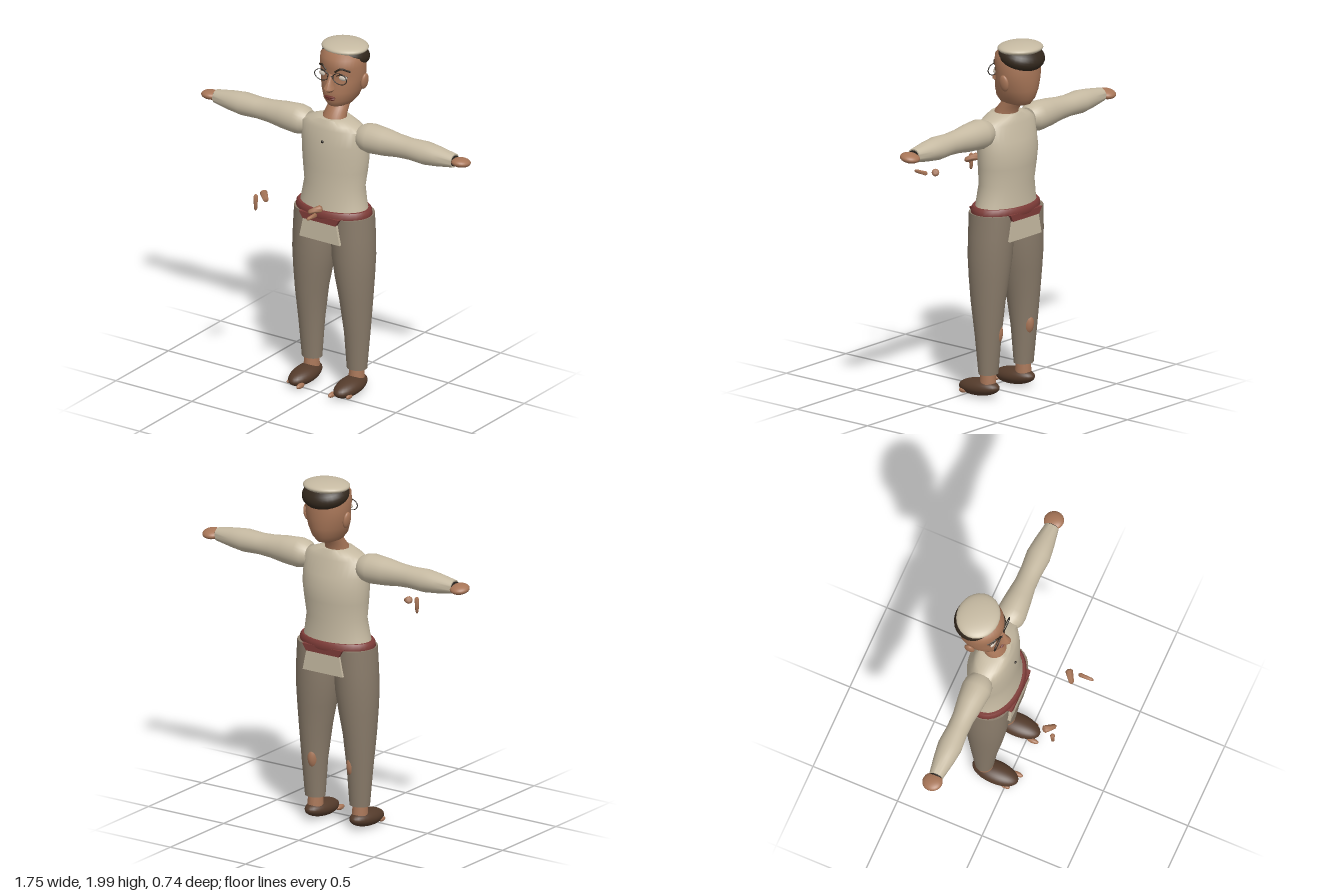
import * as THREE from 'three';
import { toCreasedNormals } from 'three/addons/utils/BufferGeometryUtils.js';

const mat = (name, color) => {
  const m = new THREE.MeshStandardMaterial({ color });
  m.name = name;
  return m;
};

// Stacks elliptical cross-sections [y, cx, cz, rx, rz], lowest first, and caps both ends
function loft(sections, n = 28, crease = 0.8) {
  const pos = [], idx = [];
  const turn = n === 4 ? Math.PI / 4 : 0, grow = n === 4 ? Math.SQRT2 : 1;
  for (const [y, cx, cz, rx, rz] of sections)
    for (let j = 0; j < n; j++) {
      const a = turn + (j / n) * Math.PI * 2;
      pos.push(cx + rx * grow * Math.sin(a), y, cz + rz * grow * Math.cos(a));
    }
  const last = sections.length - 1, base = pos.length / 3;
  for (const s of [sections[0], sections[last]]) pos.push(s[1], s[0], s[2]);
  for (let j = 0; j < n; j++) {
    const k = (j + 1) % n;
    for (let i = 0; i < last; i++) {
      const a = i * n + j, b = i * n + k;
      idx.push(a, b, b + n, a, b + n, a + n);
    }
    idx.push(base, k, j, base + 1, last * n + j, last * n + k);
  }
  const g = new THREE.BufferGeometry();
  g.setAttribute('position', new THREE.Float32BufferAttribute(pos, 3));
  g.setIndex(idx);
  return toCreasedNormals(g, crease);
}

export function createModel() {
  const root = new THREE.Group();
  root.name = 'standingMan';
  const shirt = mat('cream cloth', 0xc6baa2), trouser = mat('grey brown cloth', 0x897b6a);
  const skin = mat('skin', 0xa87658), sash = mat('dark red', 0x7e3c38);
  const hairMat = mat('dark hair', 0x33281d), leather = mat('brown leather', 0x543b2b);
  const white = mat('eye white', 0xd2c8ba), lip = mat('lip', 0x6e342c), wire = mat('dark wire', 0x2a2622);

  const add = (name, geo, material, parent = root) => {
    const m = new THREE.Mesh(geo, material);
    m.name = name;
    parent.add(m);
    return m;
  };
  const ball = (name, material, p, r, parent) => {
    const m = add(name, new THREE.SphereGeometry(1, 28, 18), material, parent);
    m.position.set(...p);
    m.scale.set(...r);
    return m;
  };
  // Tapered finger piece between two points
  const finger = (name, a, b, ra, rb) => {
    const A = new THREE.Vector3(...a), B = new THREE.Vector3(...b), d = B.clone().sub(A), L = d.length();
    const g = loft([[0, 0, 0, ra * 0.4, ra * 0.4], [L * 0.12, 0, 0, ra, ra], [L * 0.5, 0, 0, (ra + rb) / 2, (ra + rb) / 2],
      [L * 0.88, 0, 0, rb, rb], [L, 0, 0, rb * 0.4, rb * 0.4]], 12, 1.2);
    const m = add(name, g, skin);
    m.position.copy(A);
    m.quaternion.setFromUnitVectors(new THREE.Vector3(0, 1, 0), d.normalize());
  };

  // Torso, sash and shirt tail
  add('torso', loft([
    [1.04, 0, -0.135, 0.215, 0.135], [1.1, 0, -0.137, 0.2, 0.13], [1.2, 0, -0.142, 0.183, 0.124],
    [1.3, 0, -0.147, 0.197, 0.128], [1.38, 0, -0.15, 0.205, 0.131], [1.45, 0, -0.145, 0.205, 0.122],
    [1.54, 0, -0.138, 0.2, 0.103], [1.565, 0, -0.138, 0.16, 0.095], [1.59, 0, -0.138, 0.09, 0.082]], 36), shirt);
  add('sash', loft([[1.035, 0, -0.135, 0.226, 0.149], [1.045, 0, -0.135, 0.23, 0.152],
    [1.07, 0, -0.135, 0.226, 0.15], [1.08, 0, -0.135, 0.218, 0.143]], 36), sash);
  add('sashFlap', loft([[1.012, 0, -0.135, 0.108, 0.148], [1.05, 0, -0.135, 0.132, 0.148]], 4, 0.3), sash);
  add('shirtTail', loft([[0.9, 0, -0.136, 0.132, 0.143], [1.03, 0, -0.136, 0.105, 0.142]], 4, 0.3), shirt);
  ball('button', wire, [0, 1.475, -0.02], [0.008, 0.008, 0.006]);

  // Arms and legs
  for (const s of [1, -1]) {
    const side = s > 0 ? 'left' : 'right';
    const limb = (name, sections, material) => {
      const m = add(name, loft(sections), material);
      m.rotation.z = -s * Math.PI / 2;
      m.position.set(0, 1.51, -0.147);
      return m;
    };
    limb(side + 'Sleeve', [[0.17, 0, 0, 0.06, 0.06], [0.2, 0, 0, 0.075, 0.078], [0.24, 0, 0, 0.083, 0.083],
      [0.34, 0, 0, 0.076, 0.072], [0.42, 0, 0, 0.065, 0.061], [0.5, 0, 0, 0.06, 0.06], [0.6, 0, 0, 0.064, 0.068],
      [0.68, 0, 0, 0.055, 0.058], [0.785, 0, 0, 0.038, 0.04]], shirt);
    limb(side + 'Cuff', [[0.76, 0, 0, 0.03, 0.034], [0.79, 0, 0, 0.03, 0.034]], wire);
    const hand = ball(side + 'Hand', skin, [s * 0.823, 1.508, -0.152], [0.054, 0.026, 0.056]);
    hand.rotation.x = -0.15;

    add(side + 'TrouserLeg', loft([
      [0.14, s * 0.148, -0.138, 0.058, 0.052], [0.35, s * 0.15, -0.138, 0.072, 0.073],
      [0.55, s * 0.146, -0.134, 0.091, 0.098], [0.68, s * 0.137, -0.134, 0.108, 0.113],
      [0.8, s * 0.13, -0.135, 0.12, 0.124], [0.92, s * 0.125, -0.137, 0.12, 0.128],
      [1.045, s * 0.123, -0.138, 0.112, 0.13]]), trouser);
    ball(side + 'Calf', skin, [s * 0.13, 0.375, -0.177], [0.032, 0.07, 0.042]);
    add(side + 'Ankle', loft([[0.05, s * 0.148, -0.135, 0.045, 0.048], [0.1, s * 0.148, -0.135, 0.043, 0.045],
      [0.17, s * 0.148, -0.135, 0.038, 0.04]]), skin);
    const shoe = ball(side + 'Shoe', leather, [s * 0.149, 0.054, -0.074], [0.066, 0.048, 0.134]);
    shoe.rotation.x = 0.08;
    ball(side + 'BigToe', skin, [s * 0.105, 0.029, 0.036], [0.014, 0.015, 0.034]);
    ball(side + 'LittleToe', skin, [s * 0.195, 0.028, 0.005], [0.012, 0.013, 0.026]);
  }

  // Loose finger pieces held out in front
  finger('leftThumb', [0.105, 1.185, 0.268], [0.168, 1.21, 0.222], 0.014, 0.021);
  finger('leftFinger', [0.168, 1.192, 0.28], [0.168, 1.194, 0.368], 0.012, 0.009);
  finger('rightThumb', [-0.155, 1.195, 0.288], [-0.212, 1.22, 0.235], 0.014, 0.021);
  finger('rightFinger', [-0.22, 1.13, 0.297], [-0.22, 1.222, 0.295], 0.009, 0.013);

  // Head and neck
  const head = new THREE.Group();
  head.name = 'head';
  root.add(head);
  add('neck', loft([[1.56, 0, -0.14, 0.072, 0.066], [1.6, 0, -0.142, 0.066, 0.062],
    [1.64, 0, -0.175, 0.06, 0.06], [1.7, 0, -0.21, 0.06, 0.06]]), skin, head);
  const profile = [[1.645, 0.035, -0.135, -0.27], [1.656, 0.06, -0.108, -0.3], [1.69, 0.088, -0.09, -0.325],
    [1.74, 0.108, -0.09, -0.34], [1.8, 0.123, -0.1, -0.345], [1.84, 0.127, -0.105, -0.346],
    [1.88, 0.128, -0.095, -0.345], [1.93, 0.124, -0.099, -0.34], [1.97, 0.095, -0.13, -0.32]];
  add('skull', loft(profile.map(([y, rx, f, b]) => [y, 0, (f + b) / 2, rx, (f - b) / 2]), 36, 1.1), skin, head);
  add('nose', loft([[1.747, 0, -0.09, 0.016, 0.018], [1.763, 0, -0.09, 0.03, 0.042], [1.775, 0, -0.092, 0.026, 0.044],
    [1.8, 0, -0.098, 0.016, 0.03], [1.845, 0, -0.104, 0.011, 0.012]], 16, 1), skin, head);
  ball('upperLip', lip, [0, 1.714, -0.092], [0.036, 0.008, 0.012], head);
  ball('lowerLip', lip, [0, 1.703, -0.094], [0.03, 0.009, 0.012], head);

  for (const s of [1, -1]) {
    const side = s > 0 ? 'left' : 'right';
    const ear = ball(side + 'Ear', skin, [s * 0.131, 1.79, -0.235], [0.016, 0.047, 0.03], head);
    ear.rotation.z = -s * 0.15;
    ball(side + 'Eye', white, [s * 0.058, 1.83, -0.125], [0.034, 0.016, 0.013], head);
    const v = (x, y, z) => new THREE.Vector3(s * x, y, z);
    const tube = (name, pts, r, m) =>
      add(name, new THREE.TubeGeometry(new THREE.CatmullRomCurve3(pts), 16, r, 8), m, head);
    tube(side + 'Brow', [v(0.027, 1.864, -0.101), v(0.06, 1.885, -0.11), v(0.1, 1.868, -0.144)], 0.006, hairMat);
    tube(side + 'EyeLid', [v(0.026, 1.836, -0.111), v(0.058, 1.849, -0.114), v(0.09, 1.834, -0.134)], 0.003, hairMat);
    const rim = add(side + 'GlassesRim', new THREE.TorusGeometry(0.045, 0.0028, 8, 36), wire, head);
    rim.position.set(s * 0.06, 1.83, -0.1);
    rim.scale.y = 0.7;
  }
  const bridge = add('glassesBridge', new THREE.TorusGeometry(0.017, 0.0028, 8, 16, Math.PI), wire, head);
  bridge.position.set(0, 1.829, -0.094);
  bridge.scale.y = 0.6;

  // Hair and flat cap
  const hair = ball('hair', hairMat, [0, 1.92, -0.248], [0.134, 0.074, 0.126], head);
  hair.rotation.x = -0.25;
  ball('cap', shirt, [0, 1.967, -0.24], [0.134, 0.033, 0.118], head);
  return root;
}
